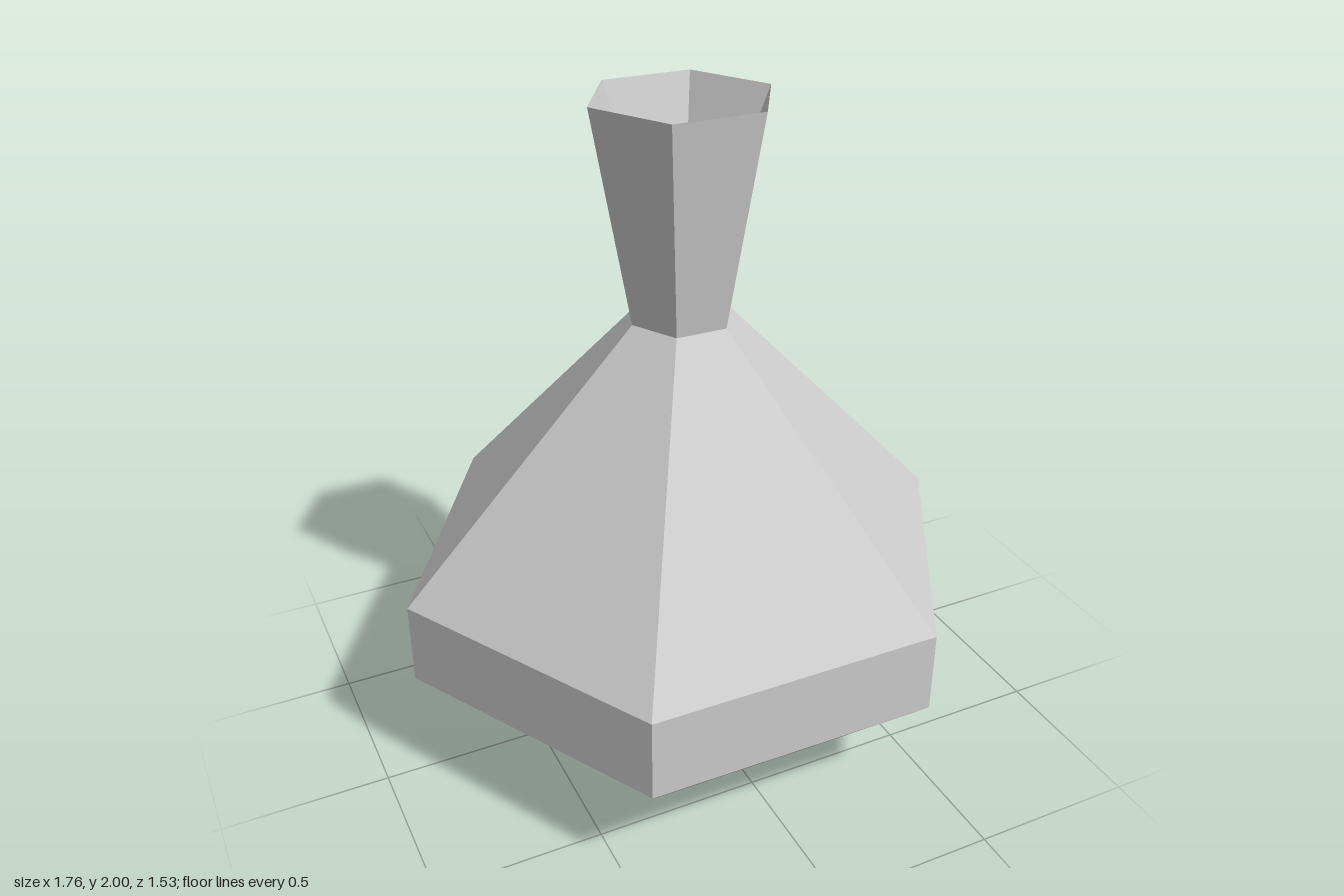
import * as THREE from 'three';

const SIDES = 6;

// Each part is a six-sided ring wall between two [radius, height] points.
const PARTS = {
  lowerBody: [[0.505, 0], [0.88, 0.34]],
  bodyBand: [[0.88, 0.34], [0.88, 0.595]],
  shoulder: [[0.88, 0.595], [0.155, 1.36]],
  neck: [[0.155, 1.36], [0.27, 2]],
  innerFunnel: [[0.27, 2], [0, 1.36]],
};

export function createModel() {
  const group = new THREE.Group();
  group.name = 'flask';

  const paleGrey = new THREE.MeshStandardMaterial({
    color: 0xcccccc,
    flatShading: true,
    side: THREE.DoubleSide, // thin shell, open underneath
  });
  paleGrey.name = 'paleGrey';

  for (const [name, points] of Object.entries(PARTS)) {
    const profile = points.map(([r, y]) => new THREE.Vector2(r, y));
    // a corner points along +x
    const wall = new THREE.LatheGeometry(profile, SIDES, Math.PI / 2);
    const mesh = new THREE.Mesh(wall, paleGrey);
    mesh.name = name;
    group.add(mesh);
  }

  // the hexagon sits very slightly turned
  group.rotation.y = -0.01;
  return group;
}
